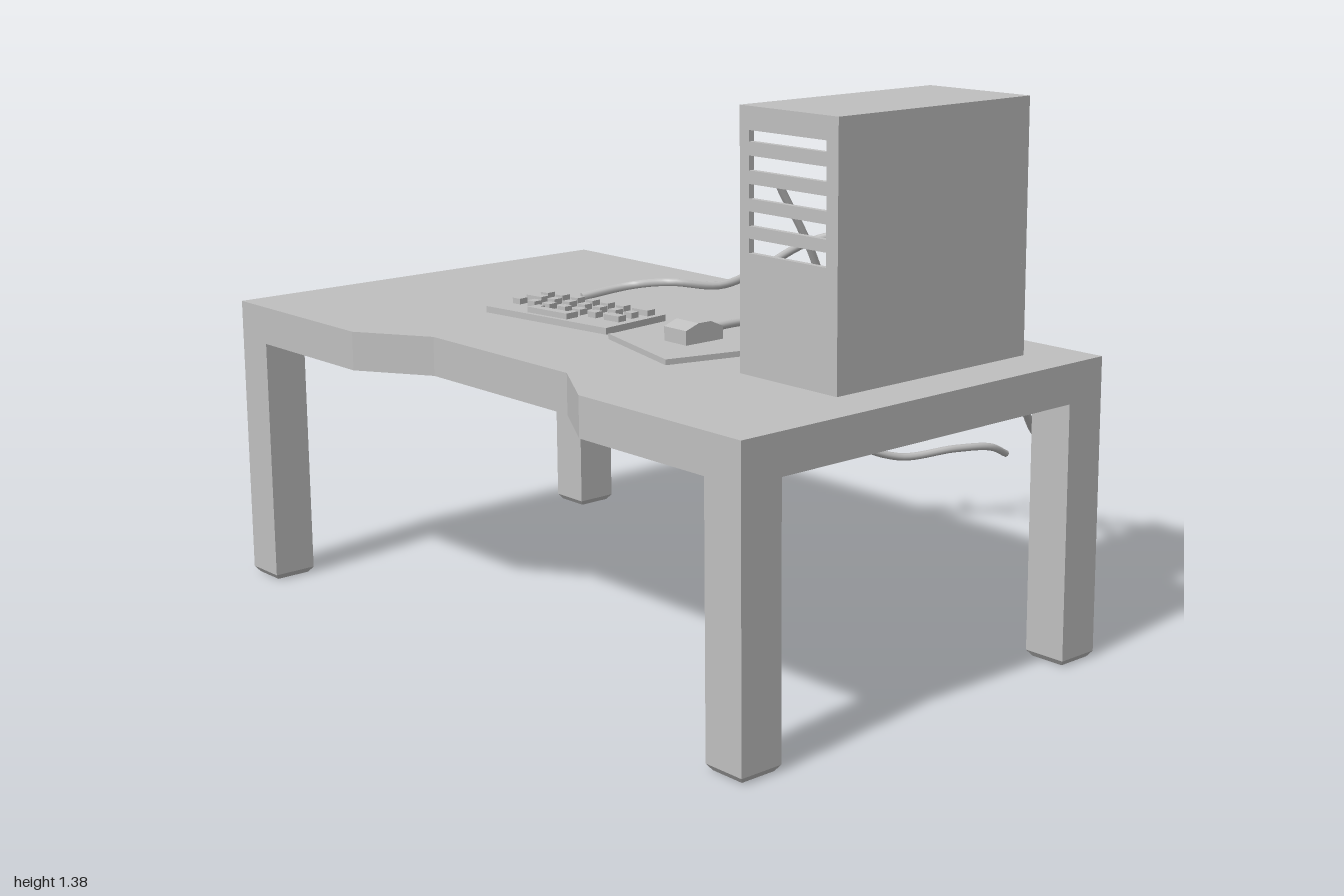
import * as THREE from 'three';

const grey = new THREE.MeshStandardMaterial({ color: 0xbfbfbf });
grey.name = 'plain grey';

function add(parent, name, geometry, x = 0, y = 0, z = 0) {
  const mesh = new THREE.Mesh(geometry, grey);
  mesh.name = name;
  mesh.position.set(x, y, z);
  parent.add(mesh);
  return mesh;
}

// Box given by its lower and upper corners
function block(parent, name, [x0, y0, z0], [x1, y1, z1]) {
  return add(parent, name, new THREE.BoxGeometry(x1 - x0, y1 - y0, z1 - z0),
    (x0 + x1) / 2, (y0 + y1) / 2, (z0 + z1) / 2);
}

function group(parent, name, x = 0, y = 0, z = 0, turn = 0) {
  const g = new THREE.Group();
  g.name = name;
  g.position.set(x, y, z);
  g.rotation.y = turn;
  parent.add(g);
  return g;
}

const polygon = (points) => new THREE.Shape(points.map(([x, y]) => new THREE.Vector2(x, y)));
const extrude = (shape, depth) => new THREE.ExtrudeGeometry(shape, { depth, bevelEnabled: false });
// Outline in x and z, extruded upwards
const slab = (points, height) =>
  extrude(polygon(points.map(([x, z]) => [x, -z])), height).rotateX(-Math.PI / 2);

// Wall facing z with rectangular holes [x0, y0, x1, y1]
function slottedWall(parent, name, x0, y0, x1, y1, z, depth, holes) {
  const shape = polygon([[x0, y0], [x1, y0], [x1, y1], [x0, y1]]);
  for (const [a, b, c, d] of holes) {
    shape.holes.push(new THREE.Path([[a, b], [a, d], [c, d], [c, b]].map((p) => new THREE.Vector2(...p))));
  }
  return add(parent, name, extrude(shape, depth), 0, 0, z);
}

function buildDesk(root) {
  const desk = group(root, 'desk');
  add(desk, 'tabletop', slab([
    [-1, -0.19], [-1, 0.98], [-0.46, 0.98], [-0.27, 0.865],
    [0.27, 0.865], [0.46, 0.98], [1, 0.98], [1, -0.19],
  ], 0.1), 0, 0.66, 0);
  for (const x of [-0.942, 0.942]) {
    for (const z of [-0.132, 0.922]) {
      add(desk, 'leg', new THREE.BoxGeometry(0.116, 0.645, 0.116), x, 0.3375, z);
      // Chamfered foot
      const foot = new THREE.CylinderGeometry(0.058 * Math.SQRT2, 0.047 * Math.SQRT2, 0.015, 4);
      add(desk, 'foot', foot.rotateY(Math.PI / 4).toNonIndexed(), x, 0.0075, z)
        .geometry.computeVertexNormals();
    }
  }
}

function buildTower(root) {
  const tower = group(root, 'computerCase');
  const [l, r, b, t, back, front, w] = [0.545, 0.865, 0.76, 1.385, -0.06, 0.57, 0.015];
  const drives = [1.317, 1.255, 1.19, 1.127, 1.064].map((y, i) => {
    const h = i ? 0.017 : 0.013;
    return [0.576, y - h, 0.828, y + h];
  });
  slottedWall(tower, 'frontPanel', l, b, r, t, front - w, w, drives);
  slottedWall(tower, 'backPanel', l, b, r, t, back, w,
    [[0.67, 1.305, 0.84, 1.325], [0.67, 1.24, 0.84, 1.26]]);
  block(tower, 'roof', [l, t - w, back + w], [r, t, front - w]);
  block(tower, 'floor', [l, b, back + w], [r, b + w, front - w]);
  block(tower, 'closedSide', [r - w, b + w, back + w], [r, t - w, front - w]);
  // Parts seen through the open side
  block(tower, 'powerSupplyCover', [l, b + w, back + w], [r - w, 0.92, front - w - 0.008]);
  block(tower, 'mainBoard', [r - w - 0.015, 0.95, 0], [r - w, 1.33, 0.36]);
  block(tower, 'expansionCard', [0.71, 0.985, -0.04], [r - w - 0.015, 1.015, 0.27]);
}

function buildKeyboard(root) {
  const keyboard = group(root, 'keyboard', -0.227, 0.76, 0.45, 0.125);
  block(keyboard, 'keyboardBase', [-0.217, 0, -0.11], [0.217, 0.017, 0.11]);
  const key = (x, z, w = 0.027) =>
    block(keyboard, 'key', [x - w / 2, 0.017, z - 0.0135], [x + w / 2, 0.032, z + 0.0135]);
  for (let i = 0; i < 7; i++) {
    const x = -0.178 + i * 0.0555;
    if (i < 6) key(x, -0.077);
    else key(x + 0.016, -0.077, 0.055);
    if (i) key(x + 0.02, -0.027);
    else key(x + 0.012, -0.027, 0.055);
    key(x, 0.026);
  }
  key(0.18, 0.026);
  // Space bar with raised ends
  add(keyboard, 'spaceBar', slab([
    [-0.075, 0.057], [-0.075, 0.098], [0.067, 0.098], [0.067, 0.057],
    [0.045, 0.057], [0.045, 0.073], [-0.053, 0.073], [-0.053, 0.057],
  ], 0.015), 0, 0.017, 0);
}

function buildMouse(root) {
  const pad = group(root, 'mousePad', 0.245, 0.76, 0.45, -0.258);
  block(pad, 'padSheet', [-0.165, 0, -0.157], [0.165, 0.014, 0.157]);
  // Side profile in z and y, swept across the width
  const mouse = group(root, 'mouse', 0.243, 0.774, 0.45);
  const profile = polygon([
    [0.06, 0], [0.06, 0.036], [0.02, 0.05], [-0.02, 0.05], [-0.06, 0.032], [-0.06, 0],
  ].map(([z, y]) => [-z, y]));
  add(mouse, 'mouseBody', extrude(profile, 0.082).rotateY(Math.PI / 2), -0.041, 0, 0);
}

function buildCables(root) {
  const cables = {
    keyboardCable: [
      [0.64, 1.19, -0.05], [0.62, 1.16, -0.17], [0.54, 1.09, -0.25], [0.44, 1.05, -0.268],
      [0.27, 0.99, -0.225], [0.03, 0.92, -0.145], [-0.095, 0.84, -0.09], [-0.1, 0.81, 0.06],
      [-0.16, 0.825, 0.175], [-0.28, 0.805, 0.21], [-0.325, 0.785, 0.35],
    ],
    mouseCable: [
      [0.69, 1.19, -0.05], [0.66, 1.15, -0.17], [0.58, 1.09, -0.25], [0.49, 1.03, -0.275],
      [0.43, 0.96, -0.24], [0.42, 0.89, -0.1], [0.425, 0.83, 0.05], [0.36, 0.797, 0.15],
      [0.27, 0.795, 0.2], [0.24, 0.795, 0.28], [0.24, 0.795, 0.4],
    ],
    powerCable: [
      [0.7, 0.84, -0.05], [0.68, 0.8, -0.16], [0.6, 0.67, -0.32], [0.48, 0.41, -0.56],
      [0.455, 0.29, -0.72], [0.365, 0.215, -0.88], [0.14, 0.165, -0.97],
    ],
    screenCable: [
      [0, 1.085, -0.06], [0, 0.85, -0.2], [-0.09, 0.43, -0.4], [-0.11, 0.29, -0.46],
      [-0.065, 0.222, -0.6], [0, 0.228, -0.77], [0.03, 0.218, -0.89], [0.02, 0.18, -0.975],
    ],
  };
  const group4 = group(root, 'cables');
  for (const [name, points] of Object.entries(cables)) {
    const curve = new THREE.CatmullRomCurve3(points.map((p) => new THREE.Vector3(...p)));
    add(group4, name, new THREE.TubeGeometry(curve, 80, 0.011, 8));
    // Closed ends
    for (const [t, sign] of [[0, -1], [1, 1]]) {
      const cap = add(group4, name + 'End', new THREE.CircleGeometry(0.011, 8), ...curve.getPoint(t));
      cap.quaternion.setFromUnitVectors(new THREE.Vector3(0, 0, 1), curve.getTangent(t).multiplyScalar(sign));
    }
  }
}

export function createModel() {
  const root = new THREE.Group();
  root.name = 'computerDesk';
  buildDesk(root);
  buildTower(root);
  buildKeyboard(root);
  buildMouse(root);
  buildCables(root);
  return root;
}
